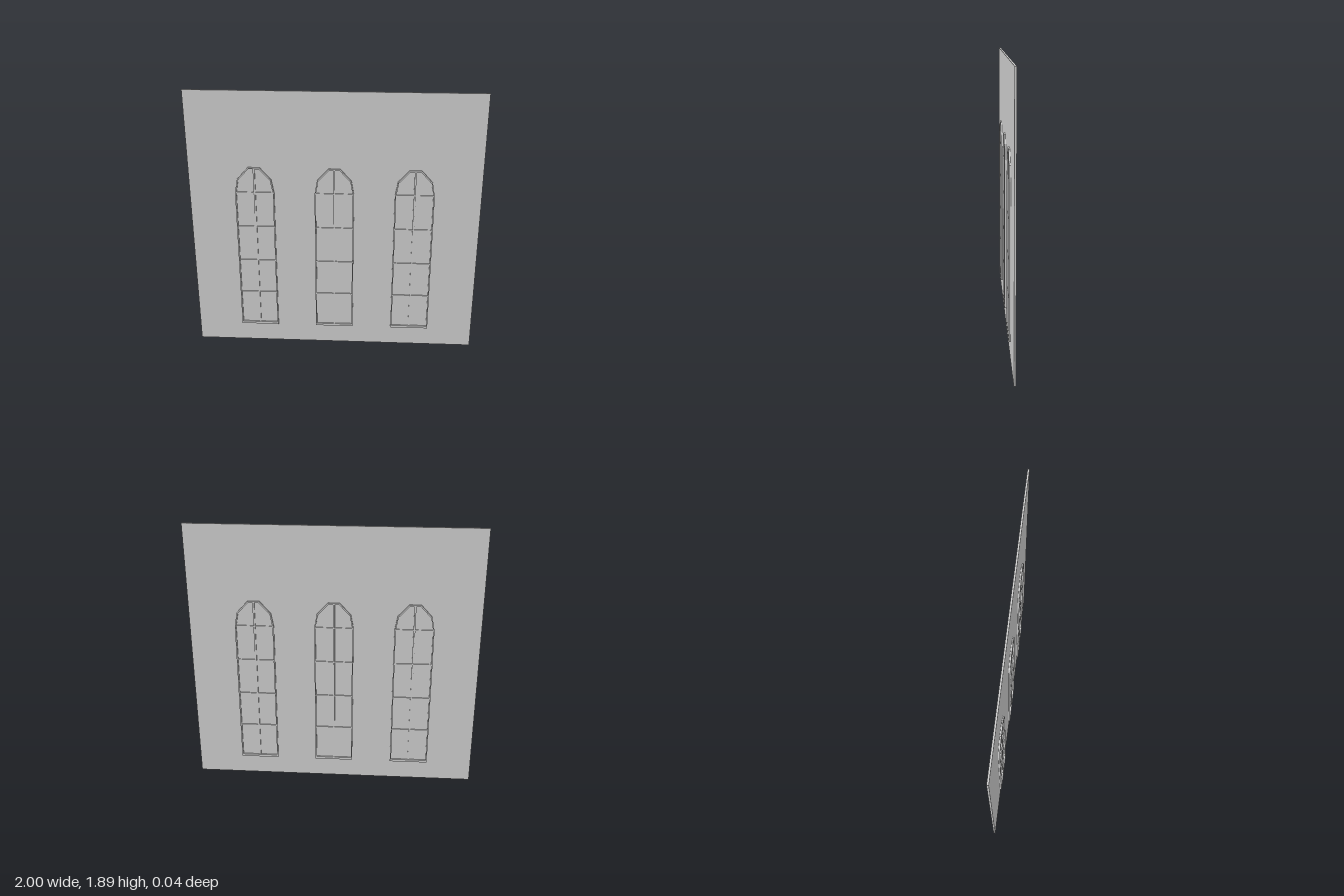
import * as THREE from 'three';

const mat = new THREE.MeshStandardMaterial({ color: 0xcccccc, flatShading: true });
const BOTTOM = 0.14;

function box(name, w, h, d, x, y) {
  const mesh = new THREE.Mesh(new THREE.BoxGeometry(w, h, d), mat);
  mesh.name = name;
  mesh.position.set(x, y, 0);
  return mesh;
}

// Closed outline of a faceted pointed window, given its right half
function outline(half) {
  const left = half.map(([x, y]) => [-x, y]).reverse();
  return [...half, ...left].map(([x, y]) => new THREE.Vector2(x, y));
}

function createWindow() {
  const win = new THREE.Group();
  win.name = 'archedWindow';

  // Outer frame: faceted arch with a slim rim and a thicker sill
  const shape = new THREE.Shape(outline([
    [0.135, BOTTOM], [0.135, 1.18], [0.117, 1.278], [0.04, 1.363]]));
  shape.holes.push(new THREE.Path(outline([
    [0.126, BOTTOM + 0.017], [0.126, 1.179], [0.109, 1.273], [0.036, 1.353]])));
  const depth = 0.036;
  const geo = new THREE.ExtrudeGeometry(shape, { depth, bevelEnabled: false });
  geo.translate(0, 0, -depth / 2);
  const frame = new THREE.Mesh(geo, mat);
  frame.name = 'windowFrame';
  win.add(frame);

  // Central mullion and crossbars
  win.add(box('mullion', 0.012, 1.2, 0.032, 0, 0.755));
  for (const y of [0.406, 0.663, 0.925, 1.18]) {
    win.add(box('crossbar', 0.256, 0.008, 0.028, 0, y));
  }
  return win;
}

export function createModel() {
  const model = new THREE.Group();
  model.name = 'windowWall';

  // Thin wall panel, which also backs the panes
  model.add(box('wallPanel', 2, 1.89, 0.013, 0, 0.945));

  // Three evenly spaced windows, showing on both sides
  for (const x of [-0.548, 0, 0.548]) {
    const win = createWindow();
    win.position.x = x;
    model.add(win);
  }
  return model;
}
